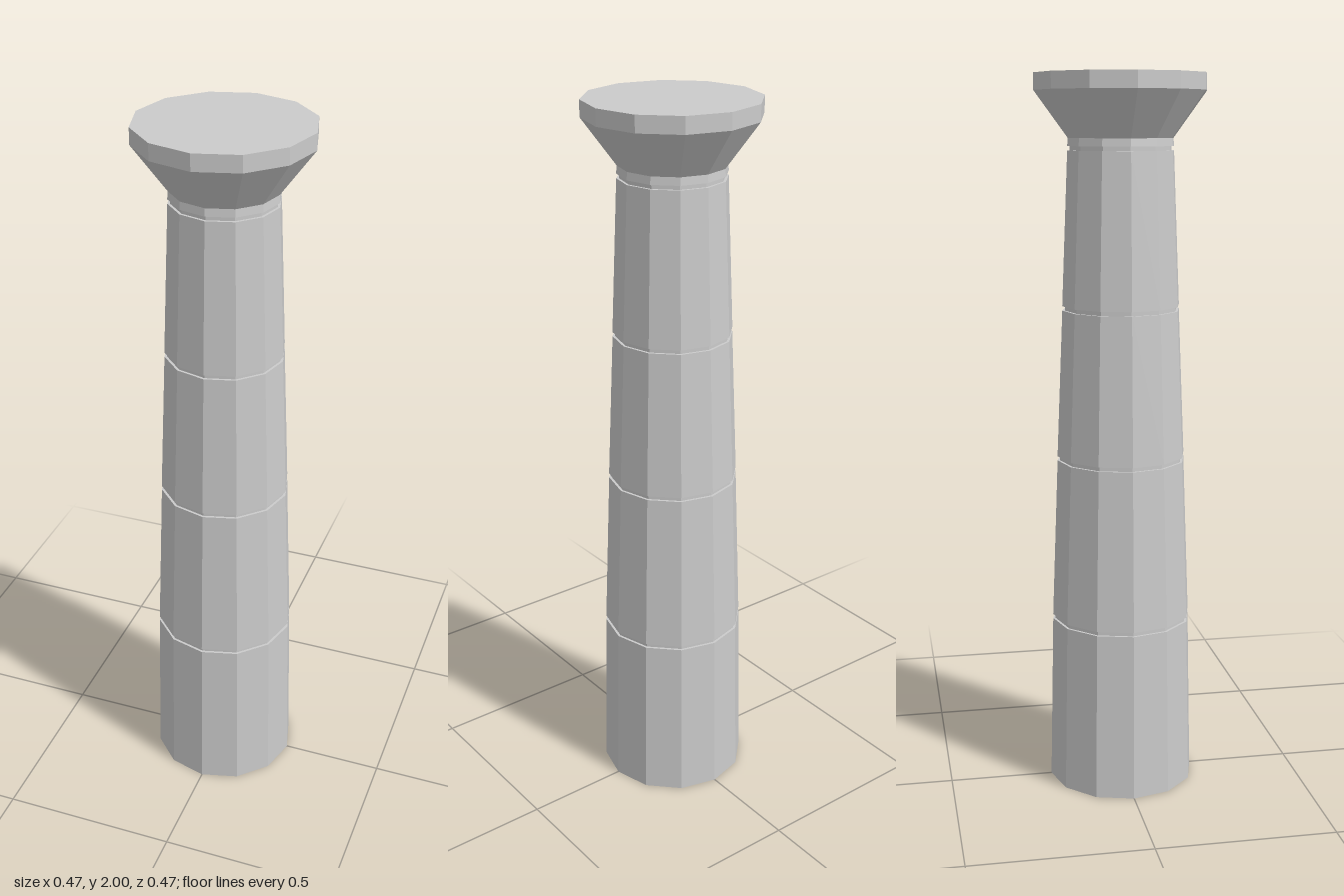
import * as THREE from 'three';

const SIDES = 12;

export function createModel() {
  const group = new THREE.Group();
  const material = new THREE.MeshStandardMaterial({
    color: 0xcccccc, flatShading: true, side: THREE.DoubleSide,
  });

  // Faceted ring surface from [radius, height] pairs, listed bottom to top
  function addLathe(name, profile) {
    const points = profile.map(([r, y]) => new THREE.Vector2(r, y));
    const mesh = new THREE.Mesh(new THREE.LatheGeometry(points, SIDES), material);
    mesh.name = name;
    group.add(mesh);
  }

  // Shaft: tapering drums parted by narrow grooves, open at the foot
  const joints = [[0.208, 0], [0.198, 0.485], [0.181, 0.95], [0.164, 1.372], [0.147, 1.803], [0.145, 1.83]];
  const gap = 0.006, depth = 0.007;
  for (let i = 0; i < joints.length - 1; i++) {
    const [r0, y0] = joints[i];
    const [r1, y1] = joints[i + 1];
    const first = i === 0, last = i === joints.length - 2;
    addLathe(`shaftDrum${i + 1}`, [[r0, first ? y0 : y0 + gap], [r1, last ? y1 : y1 - gap]]);
    if (!last) {
      addLathe(`jointGroove${i + 1}`, [
        [r1, y1 - gap], [r1 - depth, y1 - gap], [r1 - depth, y1 + gap], [r1, y1 + gap],
      ]);
    }
  }

  // Capital: flared bell, upright rim and closed top
  addLathe('capital', [[0.145, 1.83], [0.237, 1.955], [0.237, 2], [0, 2]]);

  return group;
}
